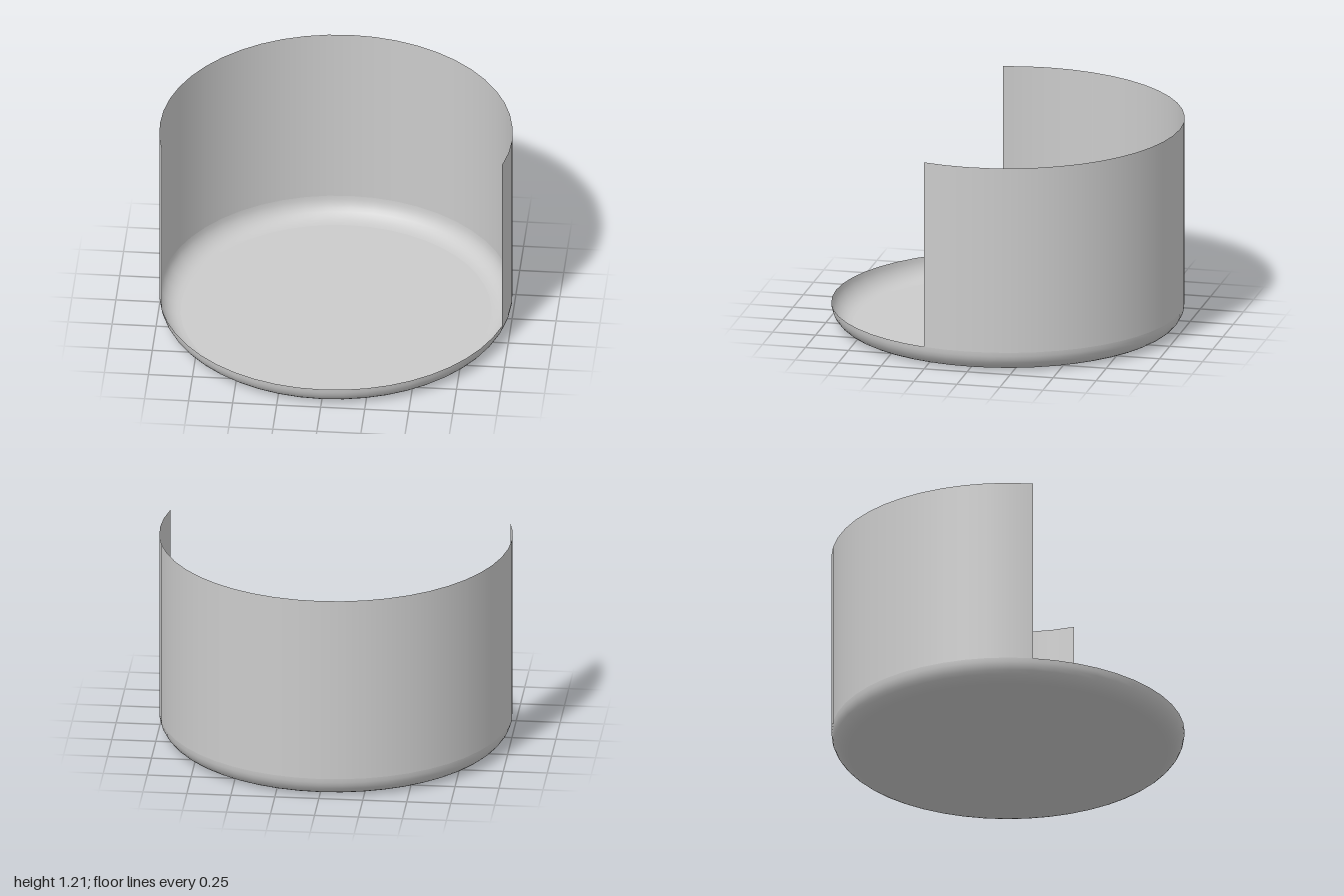
import * as THREE from 'three';

const SEGMENTS = 48;
const RADIUS = 1;
const FILLET = 0.12;
const HEIGHT = 1.21;
const WALL_START = THREE.MathUtils.degToRad(75); // the opening faces +z
const WALL_ARC = THREE.MathUtils.degToRad(210);

export function createModel() {
  const group = new THREE.Group();
  const material = new THREE.MeshStandardMaterial({ color: 0xcccccc, side: THREE.DoubleSide });

  const add = (name, geometry) => {
    const mesh = new THREE.Mesh(geometry, material);
    mesh.name = name;
    group.add(mesh);
    return mesh;
  };

  // Flat floor, facing down
  const floor = new THREE.CircleGeometry(RADIUS - FILLET, SEGMENTS);
  floor.rotateX(Math.PI / 2);
  add('floor', floor);

  // Rounded edge rising from the floor to the foot of the wall
  const profile = [];
  for (let i = 0; i <= 8; i++) {
    const a = (i / 8) * Math.PI / 2;
    profile.push(new THREE.Vector2(
      RADIUS - FILLET + FILLET * Math.sin(a),
      FILLET * (1 - Math.cos(a))
    ));
  }
  add('roundedRim', new THREE.LatheGeometry(profile, SEGMENTS));

  // Thin curved wall around the back and sides
  const wallHeight = HEIGHT - FILLET;
  const wall = new THREE.CylinderGeometry(
    RADIUS, RADIUS, wallHeight, 28, 1, true, WALL_START, WALL_ARC
  );
  add('wall', wall).position.y = FILLET + wallHeight / 2;

  return group;
}
